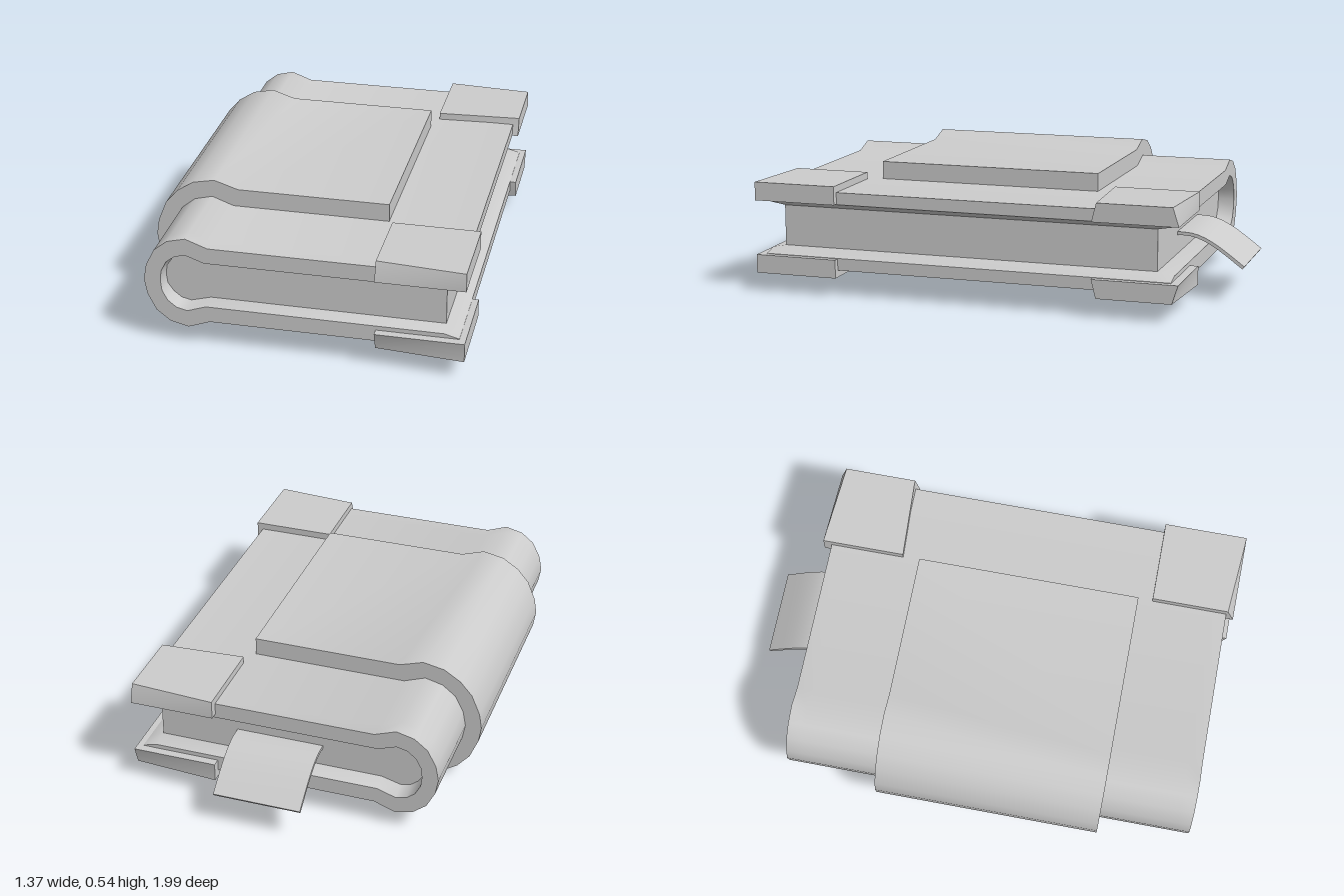
import * as THREE from 'three';
import { toCreasedNormals } from 'three/addons/utils/BufferGeometryUtils.js';

const MID = 0.279; // height of the book's middle plane
const material = new THREE.MeshStandardMaterial({ color: 0xcccccc });

// Upper half of a U profile [x, height above middle], mirrored to the lower half
function uPath(half) {
  const lower = half.slice().reverse().filter(p => p[1] > 0).map(([x, y]) => [x, -y]);
  return [...half, ...lower].map(([x, y]) => new THREE.Vector2(x, MID + y));
}

// Capped solid through matching counter-clockwise rings, listed from front to back
function loft(rings) {
  const n = rings[0].points.length;
  const positions = rings.flatMap(r => r.points.flatMap(p => [p.x, p.y, r.z]));
  const index = [];
  for (let r = 0; r < rings.length - 1; r++) {
    for (let i = 0; i < n; i++) {
      const j = (i + 1) % n;
      const a = r * n + i, b = r * n + j, c = a + n, d = b + n;
      index.push(a, c, b, b, c, d);
    }
  }
  const last = (rings.length - 1) * n;
  for (const [a, b, c] of THREE.ShapeUtils.triangulateShape(rings[0].points, [])) index.push(a, b, c);
  for (const [a, b, c] of THREE.ShapeUtils.triangulateShape(rings[rings.length - 1].points, [])) {
    index.push(last + a, last + c, last + b);
  }
  const g = new THREE.BufferGeometry();
  g.setAttribute('position', new THREE.Float32BufferAttribute(positions, 3));
  g.setIndex(index);
  return toCreasedNormals(g, 0.65);
}

export function createModel() {
  const book = new THREE.Group();
  book.name = 'book';
  const add = (name, geometry) => {
    const mesh = new THREE.Mesh(geometry, material);
    mesh.name = name;
    book.add(mesh);
  };

  // Profiles, from fore-edge to the tip of the rounded spine
  const spineCurve = [[-0.35, 0.165], [-0.44, 0.198], [-0.515, 0.179], [-0.57, 0.135], [-0.605, 0.066], [-0.617, 0]];
  const bandCurve = [[0.3, 0.24], [-0.33, 0.24], [-0.43, 0.272], [-0.52, 0.254], [-0.59, 0.209], [-0.64, 0.151], [-0.675, 0.066], [-0.685, 0]];
  const pageCurve = [[0.595, 0.086], [-0.36, 0.086], [-0.442, 0.109], [-0.482, 0.1], [-0.514, 0.075], [-0.538, 0.04], [-0.543, 0]];
  const lipCurve = [[0.595, 0.098], [-0.365, 0.098], [-0.442, 0.125], [-0.487, 0.114], [-0.522, 0.086], [-0.544, 0.044], [-0.549, 0]];

  // Cover: its inner face flares open at the front, back and fore-edge
  const outer = uPath([[0.657, 0.165], ...spineCurve]);
  const coverRing = (inner, z) => ({
    z, points: [...outer, ...uPath([[0.657, 0.114], ...inner]).reverse()],
  });
  add('cover', loft([
    coverRing(lipCurve, 0.96), coverRing(pageCurve, 0.9),
    coverRing(pageCurve, -0.715), coverRing(lipCurve, -0.785),
  ]));

  // Page block
  const pages = uPath(pageCurve);
  add('pages', loft([{ z: 0.9, points: pages }, { z: -0.715, points: pages }]));

  // Raised band around the spine
  const band = [...uPath(bandCurve), ...uPath([[0.3, 0.165], ...spineCurve]).reverse()];
  add('spineBand', loft([{ z: 0.575, points: band }, { z: -0.385, points: band }]));

  // Corner guards, slightly skewed on their outward faces
  for (const side of [1, -1]) {
    for (const front of [true, false]) {
      const [z0, z1] = front ? [0.637, 0.995] : [-0.82, -0.465];
      const g = new THREE.BoxGeometry(0.358, 0.078, z1 - z0);
      const p = g.attributes.position;
      for (let i = 0; i < p.count; i++) {
        if (p.getY(i) * side < 0) continue;
        const atEdge = p.getX(i) > 0, nearFront = p.getZ(i) > 0;
        if (front && nearFront && !atEdge) p.setZ(i, p.getZ(i) - 0.03);
        if (!front && atEdge) p.setZ(i, p.getZ(i) + (nearFront ? -0.02 : 0.025));
      }
      g.translate(0.504, MID + side * 0.155, (z0 + z1) / 2);
      g.computeVertexNormals();
      add((side > 0 ? 'upper' : 'lower') + (front ? 'Front' : 'Back') + 'Corner', g);
    }
  }

  // Ribbon bookmark drooping from the back end of the pages
  const curve = new THREE.SplineCurve([[0.69, 0.28], [0.785, 0.276], [0.876, 0.236], [0.994, 0.152]]
    .map(p => new THREE.Vector2(...p)));
  const top = [], bottom = [];
  for (let i = 0; i <= 10; i++) {
    const p = curve.getPoint(i / 10), t = curve.getTangent(i / 10);
    const normal = new THREE.Vector2(-t.y, t.x).multiplyScalar(0.007);
    top.push(p.clone().add(normal));
    bottom.unshift(p.clone().sub(normal));
  }
  const ribbon = new THREE.ExtrudeGeometry(new THREE.Shape([...top, ...bottom]), { depth: 0.37, bevelEnabled: false });
  ribbon.rotateY(Math.PI / 2).translate(-0.11, 0, 0);
  add('bookmark', toCreasedNormals(ribbon, 0.6));

  return book;
}
